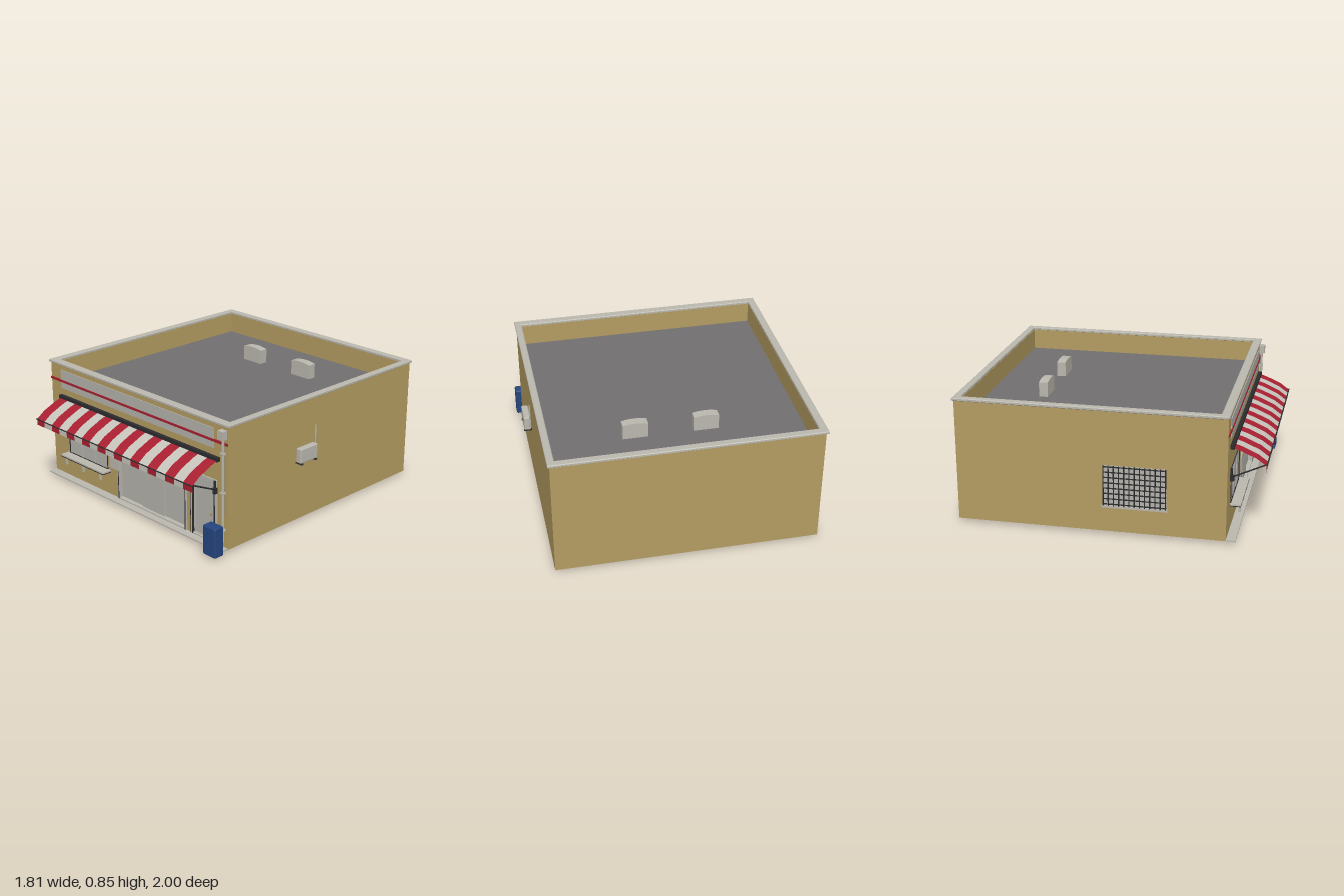
import * as THREE from 'three';
import { RoundedBoxGeometry } from 'three/addons/geometries/RoundedBoxGeometry.js';

export function createModel() {
  const root = new THREE.Group();
  root.name = 'shop';
  const material = (name, hex, double) => {
    const m = new THREE.MeshStandardMaterial({ color: hex });
    m.name = name;
    if (double) m.side = THREE.DoubleSide;
    return m;
  };
  const tan = material('tan wall', 0xb49d62, true);
  const stone = material('light grey', 0xbab8ae);
  const pane = material('pane grey', 0xb5b3ac, true);
  const roofGrey = material('roof grey', 0x716f70);
  const dark = material('dark metal', 0x2c2b2e);
  const interior = material('dark interior', 0x49434a, true);
  const red = material('red', 0xa92031, true);
  const cream = material('awning white', 0xc6c4bb, true);
  const blue = material('blue', 0x25457f);
  const brass = material('brass', 0x9a8430);

  const add = (name, geo, mat, parent = root) => {
    const m = new THREE.Mesh(geo, mat);
    m.name = name;
    parent.add(m);
    return m;
  };
  // Box given by its limits on each axis
  const box = (name, mat, x0, x1, y0, y1, z0, z1, parent) => {
    const g = new THREE.BoxGeometry(x1 - x0, y1 - y0, z1 - z0);
    g.translate((x0 + x1) / 2, (y0 + y1) / 2, (z0 + z1) / 2);
    return add(name, g, mat, parent);
  };
  const rod = (name, mat, r, a, b, parent) => {
    const path = new THREE.LineCurve3(new THREE.Vector3(...a), new THREE.Vector3(...b));
    return add(name, new THREE.TubeGeometry(path, 1, r, 8), mat, parent);
  };
  const group = (name) => {
    const g = new THREE.Group();
    g.name = name;
    root.add(g);
    return g;
  };
  const trace = (target, x0, x1, y0, y1) => {
    target.moveTo(x0, y0);
    target.lineTo(x1, y0);
    target.lineTo(x1, y1);
    target.lineTo(x0, y1);
    target.closePath();
    return target;
  };
  const panel = (x0, x1, y0, y1, holes = []) => {
    const s = trace(new THREE.Shape(), x0, x1, y0, y1);
    for (const h of holes) s.holes.push(trace(new THREE.Path(), ...h));
    return s;
  };
  // Rectangular frame standing on the front wall
  const frame = (name, mat, x0, x1, y0, y1, t, z0, z1, parent) => {
    const g = new THREE.ExtrudeGeometry(
      panel(x0, x1, y0, y1, [[x0 + t, x1 - t, y0 + t, y1 - t]]), { depth: z1 - z0, bevelEnabled: false });
    g.translate(0, 0, z0);
    return add(name, g, mat, parent);
  };

  // Thin outer walls, open underneath
  const L = -0.89, R = 0.85, B = -0.99, F = 0.765, Y0 = 0.02, Y1 = 0.832, roofY = 0.69;
  const front = new THREE.ShapeGeometry(panel(L, R, Y0, Y1, [
    [-0.715, -0.305, 0.205, 0.447], [-0.195, 0.48, 0.025, 0.46], [0.52, 0.755, 0.025, 0.46]]));
  add('frontWall', front.translate(0, 0, F), tan);
  const back = new THREE.PlaneGeometry(R - L, Y1 - Y0).rotateY(Math.PI);
  add('backWall', back.translate((L + R) / 2, (Y0 + Y1) / 2, B), tan);
  for (const [name, x, s] of [['leftHandWall', L, -1], ['rightHandWall', R, 1]]) {
    const g = new THREE.PlaneGeometry(F - B, Y1 - Y0).rotateY(s * Math.PI / 2);
    add(name, g.translate(x, (Y0 + Y1) / 2, (B + F) / 2), tan);
  }

  // Roof deck, parapet lining and coping
  box('roofDeck', roofGrey, L + 0.003, R - 0.003, roofY - 0.01, roofY, B + 0.003, F - 0.003);
  box('parapetLeft', tan, -0.86, -0.855, roofY, Y1, -0.95, 0.715);
  box('parapetRight', tan, 0.815, 0.82, roofY, Y1, -0.95, 0.715);
  box('parapetBack', tan, -0.86, 0.82, roofY, Y1, -0.955, -0.95);
  box('parapetFront', tan, -0.86, 0.82, roofY, Y1, 0.715, 0.72);
  const coping = new THREE.ExtrudeGeometry(
    panel(-0.9, 0.857, -0.767, 0.995, [[-0.86, 0.82, -0.72, 0.955]]),
    { depth: 0.012, bevelThickness: 0.004, bevelSize: 0.005, bevelSegments: 1 });
  add('coping', coping.rotateX(-Math.PI / 2).translate(0, 0.834, 0), stone);

  // Rooftop vents with a gently arched top
  for (const x of [-0.22, 0.2475]) {
    const s = new THREE.Shape();
    s.moveTo(-0.083, 0);
    s.lineTo(0.083, 0);
    s.lineTo(0.083, 0.1);
    s.quadraticCurveTo(0, 0.12, -0.083, 0.1);
    s.closePath();
    const g = new THREE.ExtrudeGeometry(s, { depth: 0.06, bevelEnabled: false, curveSegments: 6 });
    add('roofVent', g.translate(x, roofY, -0.595), stone);
  }

  // Kerb and entrance step
  box('kerb', stone, -0.895, R, 0.02, 0.029, F, 0.825);
  box('entranceStep', stone, -0.21, 0.5, 0.004, 0.02, 0.745, 0.79);
  box('stepBase', dark, -0.21, 0.5, 0, 0.004, 0.745, 0.79);

  // Blank sign band with a red stripe
  box('signBand', pane, -0.78, 0.73, 0.668, 0.8, F, 0.77);
  box('signStripe', red, L, R, 0.713, 0.729, F, 0.773);

  // Striped awning
  const awning = group('awning');
  const profile = [[0.775, 0.605], [0.83, 0.587], [0.93, 0.543], [0.99, 0.5], [0.99, 0.457]];
  const stripes = 19, span = 1.55, w = span / stripes;
  for (let i = 0; i < stripes; i++) {
    for (let k = 0; k < profile.length - 1; k++) {
      const [za, ya] = profile[k], [zb, yb] = profile[k + 1];
      const x0 = -span / 2 + i * w, x1 = x0 + w;
      const g = new THREE.BufferGeometry();
      g.setAttribute('position', new THREE.Float32BufferAttribute(
        [x0, ya, za, x0, yb, zb, x1, yb, zb, x1, ya, za], 3));
      g.setIndex([0, 1, 2, 0, 2, 3]);
      g.computeVertexNormals();
      add('awningStripe', g, i % 2 ? cream : red, awning);
    }
  }
  box('awningHousing', dark, -0.785, 0.78, 0.595, 0.622, F, 0.79, awning);
  rod('awningBar', dark, 0.004, [-0.78, 0.5, 0.994], [0.78, 0.5, 0.994], awning);
  for (const x of [-0.755, 0.75]) {
    rod('awningArm', dark, 0.005, [x, 0.503, 0.995], [x, 0.405, 0.785], awning);
    box('armPlate', dark, x - 0.005, x + 0.005, 0.4, 0.46, F, 0.78, awning);
    box('armBracket', dark, x - 0.01, x + 0.01, 0.375, 0.415, F, 0.79, awning);
  }

  // Display window with its niche and counter shelf
  const display = group('displayWindow');
  box('displayNiche', interior, -0.715, -0.305, 0.2, 0.447, 0.525, 0.757, display);
  box('displayGlass', pane, -0.715, -0.305, 0.205, 0.447, 0.758, 0.764, display);
  frame('displayFrame', dark, -0.717, -0.303, 0.205, 0.449, 0.004, 0.757, 0.77, display);
  for (const x of [-0.58, -0.44])
    box('displayMullion', stone, x - 0.004, x + 0.004, 0.209, 0.445, 0.763, 0.768, display);
  box('shelf', stone, -0.735, -0.275, 0.196, 0.206, F, 0.835, display);
  box('shelfUnderside', dark, -0.735, -0.275, 0.19, 0.196, F, 0.835, display);
  for (const x of [-0.69, -0.505, -0.32]) {
    box('shelfBracket', stone, x - 0.006, x + 0.006, 0.14, 0.19, 0.815, 0.827, display);
    box('shelfArm', stone, x - 0.006, x + 0.006, 0.178, 0.19, F, 0.827, display);
  }

  // Blank notice plate
  box('noticePlate', stone, -0.27, -0.175, 0.235, 0.36, 0.772, 0.779);

  // Wide entrance with three sliding panels
  const entrance = group('entrance');
  frame('entranceFrame', stone, -0.197, 0.482, 0.024, 0.462, 0.014, 0.73, 0.773, entrance);
  for (let i = 0; i < 3; i++) {
    const x = -0.185 + i * 0.2185, z = 0.735 + (i % 2) * 0.01;
    box('slidingPanel', pane, x, x + 0.2185, 0.03, 0.457, z, z + 0.008, entrance);
  }
  for (const x of [-0.187, 0.471])
    box('entranceEdge', dark, x - 0.003, x + 0.003, 0.03, 0.457, 0.745, 0.775, entrance);

  // Side door
  const door = group('sideDoor');
  frame('doorFrame', stone, 0.52, 0.757, 0.024, 0.462, 0.014, 0.74, 0.773, door);
  box('doorLeaf', pane, 0.53, 0.75, 0.028, 0.457, 0.744, 0.754, door);
  frame('doorTrim', stone, 0.54, 0.737, 0.03, 0.457, 0.012, 0.754, 0.76, door);
  for (const x of [0.523, 0.54, 0.736])
    box('doorEdge', dark, x - 0.0015, x + 0.0015, 0.03, 0.457, 0.76, 0.775, door);
  add('doorKnob', new THREE.SphereGeometry(0.007, 12, 8).translate(0.7, 0.212, 0.764), brass, door);

  // Barred window on the model's right-hand wall
  const barred = group('barredWindow');
  box('barredPane', pane, L - 0.004, L + 0.004, 0.2, 0.47, -0.02, 0.385, barred);
  box('barredSill', stone, L - 0.015, L + 0.02, 0.187, 0.202, -0.03, 0.395, barred);
  for (let i = 0; i <= 12; i++) {
    const z = -0.018 + i * 0.0333;
    box('verticalBar', dark, -0.905, -0.9, 0.2, 0.473, z - 0.0035, z + 0.0035, barred);
  }
  for (let i = 0; i <= 7; i++) {
    const y = 0.21 + i * 0.036;
    box('crossBar', dark, -0.903, L, y - 0.0025, y + 0.0025, -0.02, 0.385, barred);
  }

  // Air conditioner on the other side wall
  const cooler = group('airConditioner');
  add('coolerCase', new RoundedBoxGeometry(0.045, 0.1, 0.16, 2, 0.008).translate(0.88, 0.482, 0.085), stone, cooler);
  for (const z of [0.02, 0.15])
    box('coolerFoot', dark, R, 0.905, 0.422, 0.43, z - 0.008, z + 0.008, cooler);
  rod('coolerPipe', stone, 0.005, [0.862, 0.465, -0.014], [0.862, 0.65, -0.014], cooler);
  rod('coolerPipeElbow', stone, 0.005, [0.862, 0.468, -0.014], [0.862, 0.468, 0.02], cooler);

  // Rainwater head and downpipe
  const drain = group('downpipe');
  box('rainHead', stone, 0.795, 0.842, 0.755, 0.812, F, 0.802, drain);
  rod('pipe', stone, 0.009, [0.82, 0.76, 0.779], [0.82, 0.07, 0.779], drain);
  rod('pipeFoot', stone, 0.009, [0.82, 0.075, 0.778], [0.82, 0.036, 0.805], drain);
  for (const y of [0.66, 0.4, 0.15])
    box('pipeClamp', stone, 0.805, 0.835, y - 0.006, y + 0.006, F, 0.791, drain);

  // Blue bin by the corner
  add('bin', new RoundedBoxGeometry(0.11, 0.2, 0.075, 2, 0.01).translate(0.83, 0.12, 0.872), blue);

  return root;
}
